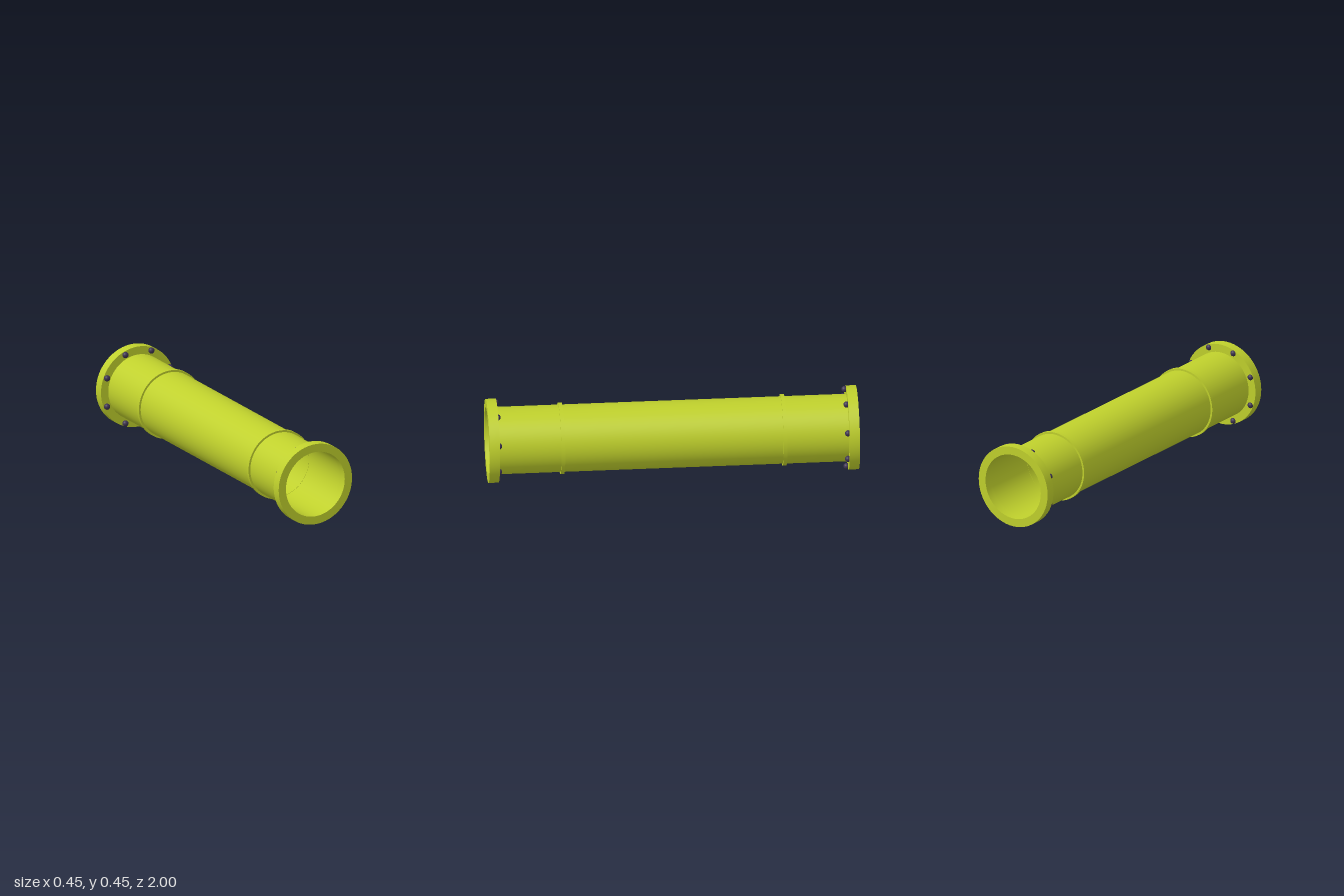
import * as THREE from 'three';
import { toCreasedNormals } from 'three/addons/utils/BufferGeometryUtils.js';

const PIPE_R = 0.182, FLANGE_R = 0.227, RING_R = 0.193, SIDES = 64;

export function createModel() {
  const model = new THREE.Group();
  model.name = 'flangedPipe';
  const paint = new THREE.MeshStandardMaterial({ color: 0xbfd02c });
  const paintThin = new THREE.MeshStandardMaterial({ color: 0xbfd02c, side: THREE.DoubleSide });
  const boltDark = new THREE.MeshStandardMaterial({ color: 0x3d3350 });

  const add = (name, geometry, material, x, y, z) => {
    const mesh = new THREE.Mesh(geometry, material);
    mesh.name = name;
    mesh.position.set(x, y, z);
    model.add(mesh);
  };

  // Crisp-edged collar of rectangular section around the z axis
  const collar = (inner, outer, width) => {
    const h = width / 2;
    const profile = [[inner, -h], [outer, -h], [outer, h], [inner, h], [inner, -h]]
      .map(([r, y]) => new THREE.Vector2(r, y));
    const geometry = new THREE.LatheGeometry(profile, SIDES).rotateX(Math.PI / 2);
    return toCreasedNormals(geometry, 0.6);
  };

  // Thin open pipe running between the flanges
  const pipe = new THREE.CylinderGeometry(PIPE_R, PIPE_R, 1.89, SIDES, 1, true).rotateX(Math.PI / 2);
  add('pipe', pipe, paintThin, 0, FLANGE_R, 0);

  const flange = collar(PIPE_R, FLANGE_R, 0.055);
  const ring = collar(PIPE_R - 0.001, RING_R, 0.02);
  const bolt = new THREE.SphereGeometry(0.017, 16, 12);

  // Both ends: flange, raised ring and a circle of eight bolts
  for (const [end, side, boltZ] of [['front', 1, 0.948], ['back', -1, 0.937]]) {
    add(end + 'Flange', flange, paint, 0, FLANGE_R, side * 0.9725);
    add(end + 'Ring', ring, paint, 0, FLANGE_R, side * 0.6);
    for (let i = 0; i < 8; i++) {
      const a = (i + 0.5) * Math.PI / 4;
      add(end + 'Bolt' + (i + 1), bolt, boltDark,
        0.21 * Math.cos(a), FLANGE_R + 0.21 * Math.sin(a), side * boltZ);
    }
  }
  return model;
}
